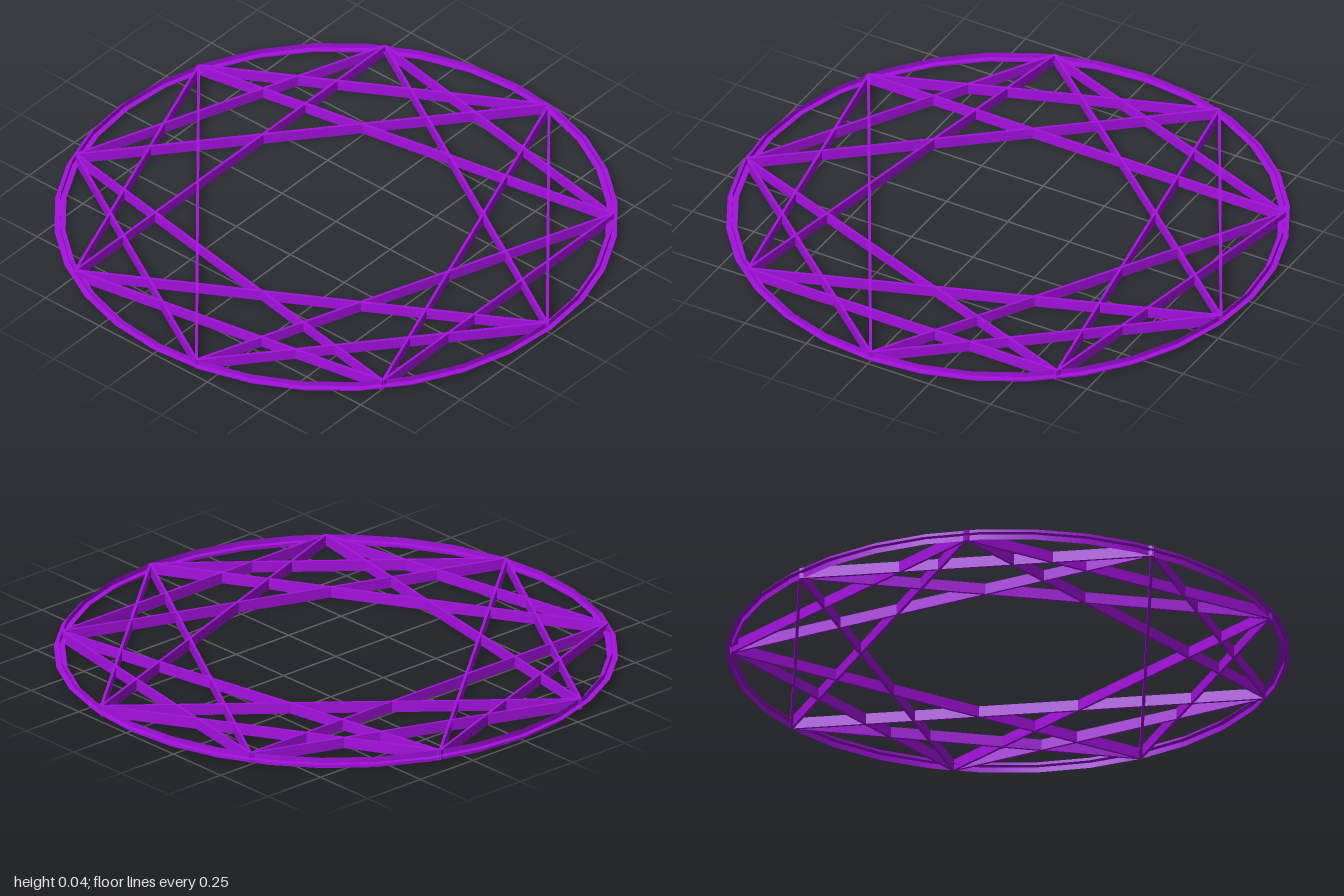
import * as THREE from 'three';

const RADIUS = 0.98; // centre line of the hoop
const HEIGHT = 0.04; // hoop and string height
const POINTS = 9;    // anchor points around the hoop

export function createModel() {
  const model = new THREE.Group();
  model.name = 'stringHoop';
  const material = new THREE.MeshStandardMaterial({ color: 0xa510e0, side: THREE.DoubleSide });

  const add = (name, geometry, parent = model) => {
    const mesh = new THREE.Mesh(geometry, material);
    mesh.name = name;
    parent.add(mesh);
    return mesh;
  };

  // Hoop: an upright band crossed by a flat rim
  const band = add('hoopBand', new THREE.CylinderGeometry(RADIUS, RADIUS, HEIGHT, 32, 1, true));
  band.position.y = HEIGHT / 2;
  const rim = add('hoopRim', new THREE.RingGeometry(RADIUS - 0.02, RADIUS + 0.02, 32).rotateX(-Math.PI / 2));
  rim.position.y = HEIGHT / 2;

  // Strings: thin upright strips joining every second and every third anchor
  const strings = new THREE.Group();
  strings.name = 'strings';
  model.add(strings);
  const anchor = (i) => {
    const a = (i / POINTS) * Math.PI * 2;
    return new THREE.Vector3(Math.cos(a) * RADIUS, HEIGHT / 2, Math.sin(a) * RADIUS);
  };
  for (const step of [2, 3]) {
    for (let i = 0; i < POINTS; i++) {
      const from = anchor(i), to = anchor(i + step);
      const string = add('string', new THREE.BoxGeometry(0.01, HEIGHT, from.distanceTo(to)), strings);
      string.position.copy(from).lerp(to, 0.5);
      string.rotation.y = Math.atan2(to.x - from.x, to.z - from.z);
    }
  }
  return model;
}
